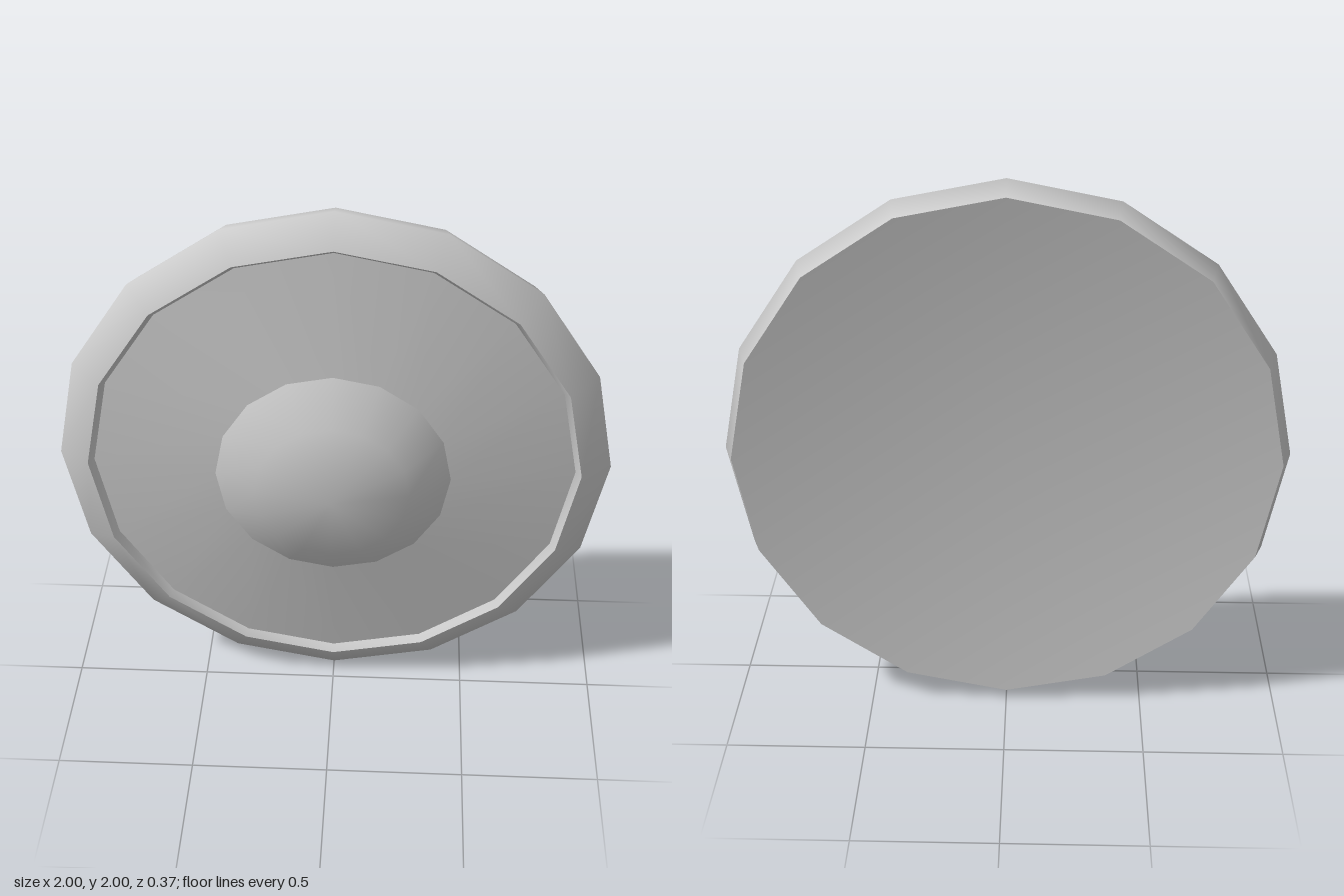
import * as THREE from 'three';
import { mergeVertices } from 'three/addons/utils/BufferGeometryUtils.js';

const SIDES = 16;

export function createModel() {
  const shield = new THREE.Group();
  shield.name = 'roundShield';
  const material = new THREE.MeshStandardMaterial({ color: 0xcccccc });

  // Each part is a smooth lathe about z; separate parts meet in sharp edges.
  // Profile points are [radius, z], running from back to front.
  function addPart(name, profile) {
    const points = profile.map(([r, z]) => new THREE.Vector2(r, z));
    const lathe = new THREE.LatheGeometry(points, SIDES);
    lathe.rotateX(Math.PI / 2);
    lathe.translate(0, 1, 0);
    // Weld the seam and the centre so that shading runs smoothly across them
    lathe.deleteAttribute('uv');
    lathe.deleteAttribute('normal');
    const geometry = mergeVertices(lathe);
    geometry.computeVertexNormals();
    const mesh = new THREE.Mesh(geometry, material);
    mesh.name = name;
    shield.add(mesh);
  }

  // Shallow hollow back
  addPart('back', [[0, -0.065], [0.965, -0.185]]);
  // Rounded outer rim
  addPart('rim', [[0.965, -0.185], [1, -0.09], [0.89, -0.02]]);
  // Step from the rim down to the face
  addPart('rimStep', [[0.89, -0.02], [0.87, -0.048]]);
  // Shallow conical face
  addPart('face', [[0.87, -0.048], [0.422, 0.018]]);
  // Central domed boss
  addPart('boss', [[0.422, 0.018], [0.275, 0.122], [0, 0.182]]);

  return shield;
}
